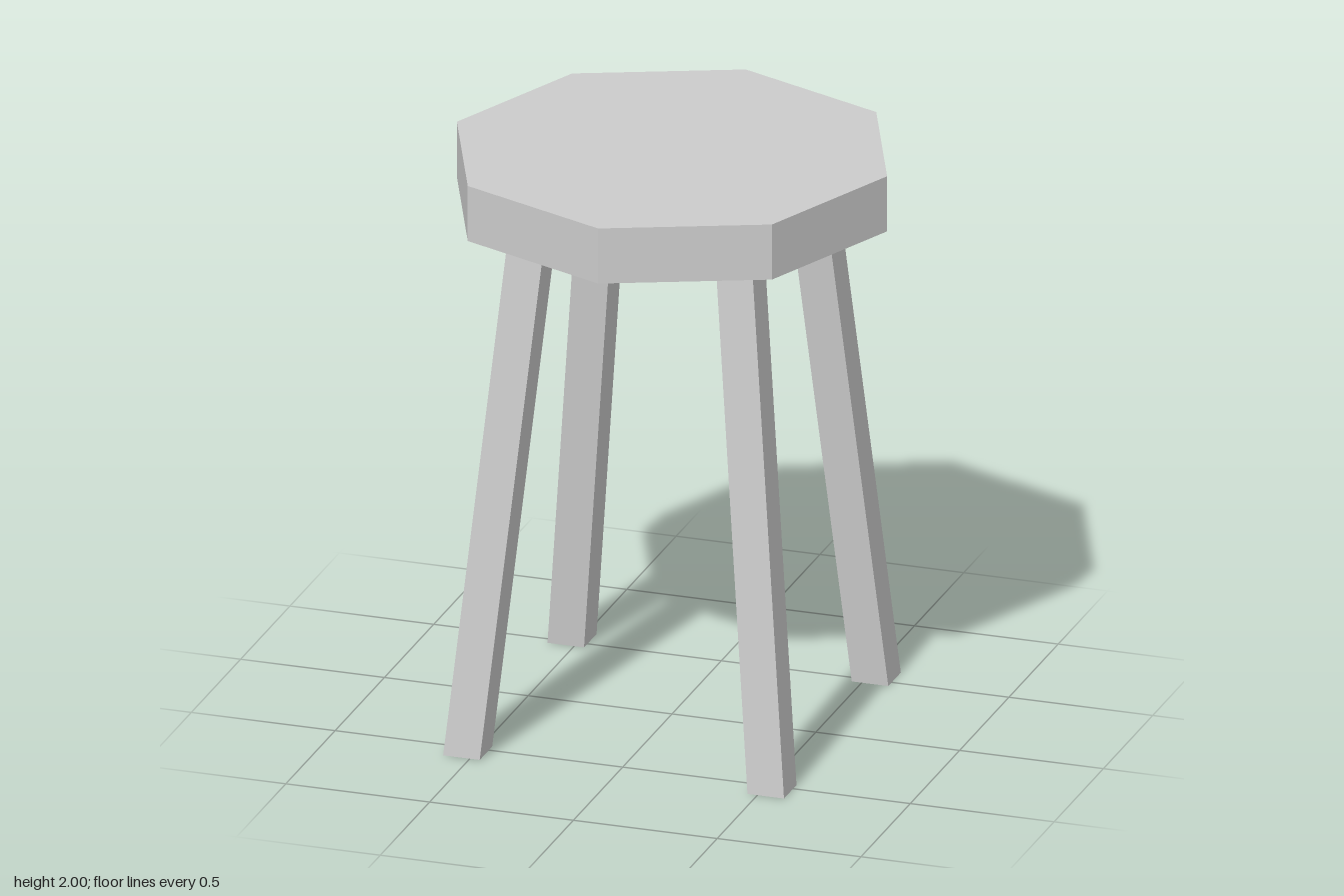
import * as THREE from 'three';

const SEAT_BOTTOM = 1.805;

// Square leg, sheared outward towards the floor; sx and sz pick the corner
function makeLeg(material, sx, sz) {
  const topOffset = 0.36, footOffset = 0.529;
  const geometry = new THREE.BoxGeometry(0.127, SEAT_BOTTOM, 0.127);
  geometry.translate(0, SEAT_BOTTOM / 2, 0);
  const p = geometry.attributes.position;
  for (let i = 0; i < p.count; i++) {
    const offset = THREE.MathUtils.lerp(footOffset, topOffset, p.getY(i) / SEAT_BOTTOM);
    p.setX(i, p.getX(i) + sx * offset);
    p.setZ(i, p.getZ(i) + sz * offset);
  }
  geometry.computeVertexNormals();
  return new THREE.Mesh(geometry, material);
}

export function createModel() {
  const stool = new THREE.Group();
  stool.name = 'stool';
  const material = new THREE.MeshStandardMaterial({ color: 0xcccccc, flatShading: true });

  // Octagonal seat with corners on the x and z axes
  const thickness = 2 - SEAT_BOTTOM;
  const seat = new THREE.Mesh(new THREE.CylinderGeometry(0.748, 0.748, thickness, 8), material);
  seat.position.y = SEAT_BOTTOM + thickness / 2;
  seat.name = 'seat';
  stool.add(seat);

  // Four splayed legs
  for (const [front, sz] of [['front', 1], ['back', -1]]) {
    for (const [side, sx] of [['Left', 1], ['Right', -1]]) {
      const leg = makeLeg(material, sx, sz);
      leg.name = `${front}${side}Leg`;
      stool.add(leg);
    }
  }
  return stool;
}
